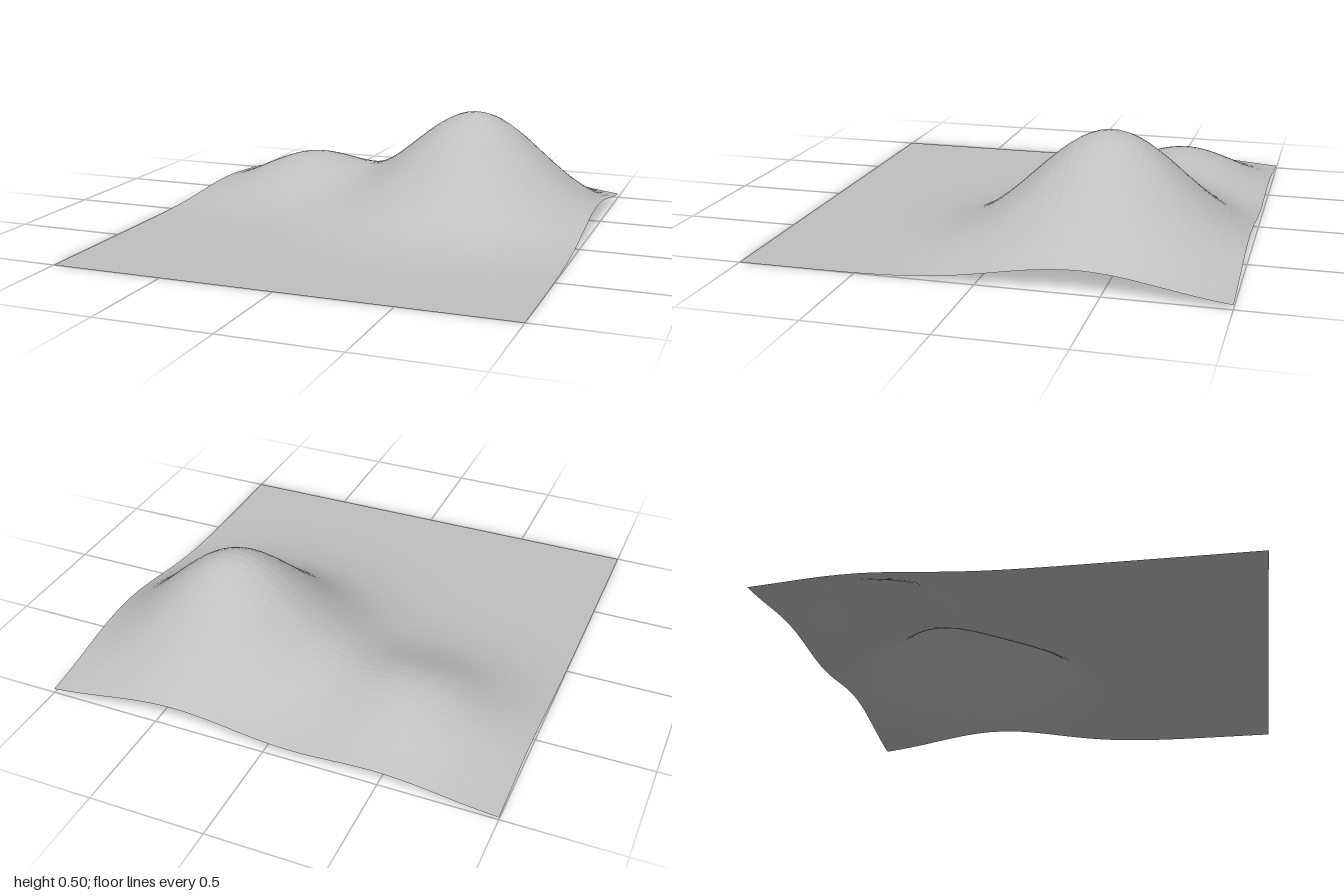
import * as THREE from 'three';

// Each hill is a round bell: centre, height and spread
const HILLS = [
  { x: 0.41, z: -0.41, height: 0.5, spread: 0.212 },
  { x: -0.5, z: -0.59, height: 0.2, spread: 0.144 },
];

function groundHeight(x, z) {
  return HILLS.reduce((sum, h) => {
    const d2 = (x - h.x) ** 2 + (z - h.z) ** 2;
    return sum + h.height * Math.exp(-d2 / h.spread);
  }, 0);
}

export function createModel() {
  const group = new THREE.Group();
  group.name = 'landscape';

  const stone = new THREE.MeshStandardMaterial({
    name: 'stone grey',
    color: 0xc0c0c0,
    flatShading: true,
    side: THREE.DoubleSide,
  });

  // Square sheet of ground raised into two hills
  const geometry = new THREE.PlaneGeometry(2, 2, 50, 50).rotateX(-Math.PI / 2);
  const pos = geometry.attributes.position;
  for (let i = 0; i < pos.count; i++) {
    pos.setY(i, groundHeight(pos.getX(i), pos.getZ(i)));
  }
  geometry.computeVertexNormals();

  const terrain = new THREE.Mesh(geometry, stone);
  terrain.name = 'terrain';
  group.add(terrain);
  return group;
}
